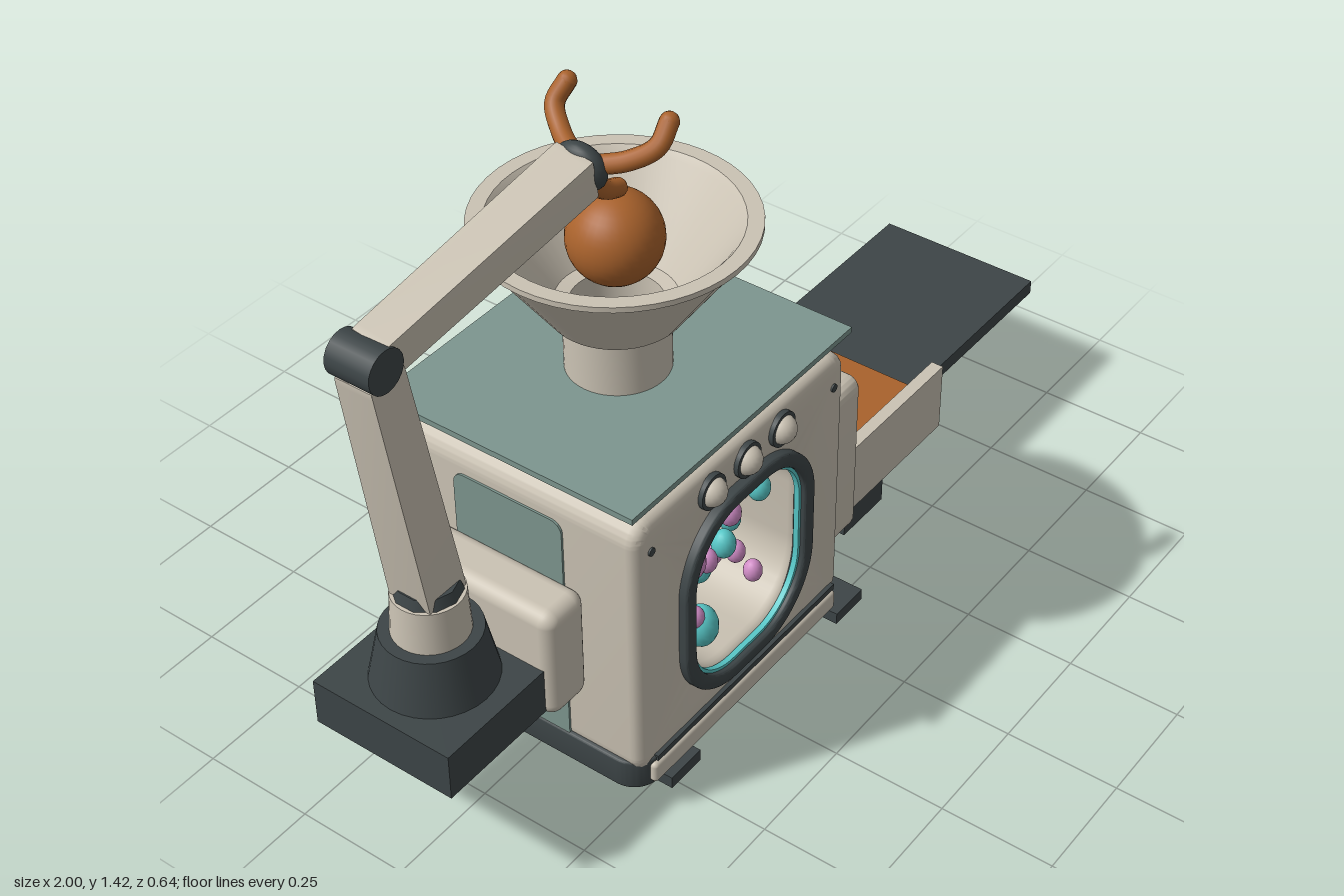
import * as THREE from 'three';
import { toCreasedNormals } from 'three/addons/utils/BufferGeometryUtils.js';
import { RoundedBoxGeometry } from 'three/addons/geometries/RoundedBoxGeometry.js';

const mat = (name, color, side = THREE.FrontSide) => new THREE.MeshStandardMaterial({ name, color, side });
const V = (x, y, z) => new THREE.Vector3(x, y, z);

// Rounded rectangle centred on the origin
function roundRect(w, h, r, Type = THREE.Shape) {
  const s = new Type(), a = w / 2 - r, b = h / 2 - r;
  s.absarc(a, b, r, 0, Math.PI / 2);
  s.absarc(-a, b, r, Math.PI / 2, Math.PI);
  s.absarc(-a, -b, r, Math.PI, Math.PI * 1.5);
  s.absarc(a, -b, r, Math.PI * 1.5, Math.PI * 2);
  s.closePath();
  return s;
}

// Rounded slab with an optional opening, centred in depth
function slab(w, h, r, depth, bevel = 0, hole = null) {
  const s = roundRect(w, h, r);
  if (hole) s.holes.push(roundRect(...hole, THREE.Path));
  const g = new THREE.ExtrudeGeometry(s, {
    depth: depth - 2 * bevel, bevelEnabled: bevel > 0, bevelSize: bevel,
    bevelThickness: bevel, bevelOffset: -bevel, bevelSegments: 4, curveSegments: 10,
  });
  g.translate(0, 0, bevel - depth / 2);
  return toCreasedNormals(g, 0.6);
}

export function createModel() {
  const root = new THREE.Group();
  const beige = mat('beige', 0xcbc3b4), dark = mat('charcoal', 0x3d4547);
  const teal = mat('greyTeal', 0x7d968f), orange = mat('copper', 0xa9622c);
  const pink = mat('pink', 0xd08cc6), cyan = mat('cyan', 0x58c8c8);

  const add = (name, geo, m, x = 0, y = 0, z = 0, parent = root) => {
    const mesh = new THREE.Mesh(geo, m);
    mesh.name = name;
    mesh.position.set(x, y, z);
    parent.add(mesh);
    return mesh;
  };
  // Box given by its limits
  const span = (name, m, x0, x1, y0, y1, z0, z1) =>
    add(name, new THREE.BoxGeometry(x1 - x0, y1 - y0, z1 - z0), m, (x0 + x1) / 2, (y0 + y1) / 2, (z0 + z1) / 2);

  const CX = -0.28, CZ = -0.01, WY = 0.41;

  // Body shell with a window opening, closed at the back
  const shell = slab(0.68, 0.64, 0.05, 0.6, 0.025, [0.365, 0.42, 0.14]);
  shell.translate(0, 0.423 - WY, 0);
  // The opening is shifted with the shell, so the frame parts share its centre
  const winY = 0.423;
  add('body', shell, beige, CX, WY, CZ);
  const cap = add('bodyBack', new THREE.ShapeGeometry(roundRect(0.43, 0.48, 0.17)), beige, CX, winY, -0.3102);
  cap.rotation.y = Math.PI;
  add('chamberBack', new THREE.ShapeGeometry(roundRect(0.37, 0.425, 0.14)), beige, CX, winY, 0.08);

  // Window frame and lining
  add('windowFrame', slab(0.425, 0.478, 0.17, 0.035, 0.008, [0.36, 0.414, 0.137]), dark, CX, WY, 0.294);
  add('windowLining', slab(0.362, 0.416, 0.138, 0.012, 0, [0.346, 0.4, 0.13]), cyan, CX, WY, 0.292);

  // Capsules floating in the chamber: x, y, radius
  const capsules = (name, m, list) => list.forEach(([x, y, r], i) => {
    const c = add(name, new THREE.SphereGeometry(r, 16, 12), m, x, y, 0.17 + 0.035 * ((i * 2) % 4));
    c.scale.set(0.84, 1.08, 0.84);
  });
  capsules('pinkCapsule', pink, [[-0.307, 0.54, 0.043], [-0.388, 0.48, 0.037], [-0.388, 0.42, 0.034],
    [-0.26, 0.515, 0.028], [-0.275, 0.39, 0.03], [-0.335, 0.445, 0.026], [-0.334, 0.33, 0.026],
    [-0.24, 0.4, 0.024], [-0.217, 0.337, 0.021], [-0.18, 0.305, 0.024], [-0.31, 0.4, 0.026], [-0.375, 0.325, 0.024]]);
  capsules('cyanCapsule', cyan, [[-0.222, 0.492, 0.042], [-0.163, 0.513, 0.029], [-0.163, 0.396, 0.028],
    [-0.28, 0.449, 0.03], [-0.27, 0.342, 0.034], [-0.356, 0.289, 0.044], [-0.255, 0.475, 0.026]]);

  // Knobs above the window
  for (const dx of [-0.113, 0, 0.113]) {
    const rim = add('knobRim', new THREE.CylinderGeometry(0.038, 0.038, 0.02, 24), dark, CX + dx, 0.69, 0.29);
    rim.rotation.x = Math.PI / 2;
    add('knob', new THREE.SphereGeometry(0.031, 20, 14), beige, CX + dx, 0.69, 0.294);
  }

  // Screws front and back
  for (const x of [-0.575, 0.015]) for (const z of [0.29, -0.31]) {
    const s = add('screw', new THREE.CylinderGeometry(0.009, 0.009, 0.008, 12), dark, x, 0.67, z);
    s.rotation.x = Math.PI / 2;
  }

  // Base skirt, front strip, legs and pads
  const base = add('baseSkirt', slab(0.695, 0.615, 0.06, 0.07, 0.006), dark, CX, 0.105, -0.012);
  base.rotation.x = Math.PI / 2;
  span('frontSeam', dark, -0.575, 0.03, 0.128, 0.142, 0.28, 0.299);
  add('frontStrip', new RoundedBoxGeometry(0.62, 0.05, 0.03, 3, 0.01), beige, CX, 0.105, 0.29);
  for (const z of [0.19, -0.21]) for (const x of [-0.54, -0.02])
    add('leg', new THREE.CylinderGeometry(0.034, 0.023, 0.045, 16), dark, x, 0.0525, z);
  for (const [z0, z1] of [[0.165, 0.29], [-0.31, -0.185]]) {
    span('footPad', dark, -0.52, -0.425, 0, 0.028, z0, z1);
    span('footPad', dark, 0.06, 0.155, 0, 0.028, z0, z1);
  }

  // Side panels
  for (const x of [-0.62, 0.06]) {
    const p = add('sidePanel', slab(0.26, 0.57, 0.025, 0.009), teal, x, 0.395, CZ);
    p.rotation.y = Math.PI / 2;
  }

  // Lid plate and funnel
  span('lidPlate', teal, -0.628, 0.074, 0.77, 0.783, -0.314, 0.29);
  const profile = [[0.105, 0.783], [0.105, 0.915], [0.134, 0.915], [0.268, 1.105], [0.277, 1.108], [0.277, 1.12],
    [0.245, 1.12], [0.235, 1.108], [0.12, 0.935], [0.092, 0.93], [0.092, 0.79], [0, 0.79]];
  const funnel = new THREE.LatheGeometry(profile.map(p => new THREE.Vector2(...p)), 48);
  add('funnel', toCreasedNormals(funnel, 0.4), beige, CX, 0, CZ);
  add('ball', new THREE.SphereGeometry(0.095, 32, 20), orange, CX, 1.078, CZ);

  // Outlet frame, flap and tray
  const outlet = add('outletFrame', slab(0.555, 0.397, 0.03, 0.095, 0.015, [0.466, 0.33, 0.006]), beige, 0.1075, 0.399, CZ);
  outlet.rotation.y = Math.PI / 2;
  const flap = add('flap', new THREE.BoxGeometry(0.01, 0.19, 0.3), orange, 0.168, 0.489, CZ);
  flap.rotation.z = Math.atan2(0.1, 0.165);
  span('trayFloor', beige, 0.1, 0.51, 0.225, 0.293, -0.235, 0.22);
  span('trayLiner', orange, 0.1, 0.51, 0.293, 0.299, -0.235, 0.22);
  span('trayWall', beige, 0.155, 0.51, 0.225, 0.388, 0.22, 0.248);
  span('trayWall', beige, 0.155, 0.51, 0.225, 0.388, -0.264, -0.235);
  span('trayBracket', dark, 0.18, 0.325, 0.13, 0.225, 0.178, 0.224);
  span('trayBracket', dark, 0.18, 0.325, 0.13, 0.225, -0.242, -0.197);
  span('conveyor', dark, 0.505, 1, 0.263, 0.296, -0.205, 0.183);

  // Arm mount and turret
  const AX = -0.845, AZ = -0.015;
  add('armMount', new RoundedBoxGeometry(0.112, 0.258, 0.372, 4, 0.03), beige, -0.672, 0.411, AZ);
  span('armBase', dark, -1, -0.72, 0.3, 0.405, -0.18, 0.15);
  add('turret', new THREE.CylinderGeometry(0.1, 0.125, 0.115, 32), dark, AX, 0.4625, AZ);
  add('turretNeck', new THREE.CylinderGeometry(0.072, 0.077, 0.095, 32), beige, AX, 0.567, AZ);
  add('turretCollar', new THREE.CylinderGeometry(0.06, 0.068, 0.025, 10), dark, AX, 0.625, AZ);

  // Arm: tapered bars between joints
  const bar = (name, a, b, w0, w1) => {
    const len = a.distanceTo(b), g = new RoundedBoxGeometry(1, len, 1, 1, 0.014);
    const p = g.attributes.position;
    for (let i = 0; i < p.count; i++) {
      const w = THREE.MathUtils.lerp(w0, w1, p.getY(i) / len + 0.5);
      p.setX(i, p.getX(i) * w);
      p.setZ(i, p.getZ(i) * w);
    }
    const m = add(name, toCreasedNormals(g, 0.3), beige);
    m.position.copy(a).lerp(b, 0.5);
    m.quaternion.setFromUnitVectors(V(0, 1, 0), b.clone().sub(a).normalize());
  };
  const elbow = V(-0.945, 1.2, -0.02), wrist = V(-0.41, 1.318, 0.022);
  bar('upperArm', V(-0.843, 0.6, AZ), V(-0.937, 1.175, -0.018), 0.1, 0.085);
  bar('forearm', V(-0.925, 1.203, -0.018), V(-0.42, 1.316, 0.022), 0.08, 0.088);
  const joint = add('elbow', new THREE.CylinderGeometry(0.044, 0.044, 0.1, 20), dark);
  joint.position.copy(elbow);
  joint.rotation.x = Math.PI / 2;
  const hub = add('wrist', new THREE.SphereGeometry(0.055, 24, 16), dark);
  hub.position.copy(wrist);
  hub.scale.set(0.55, 0.95, 1);
  hub.rotation.z = 0.22;

  // Gripper fingers
  const fingers = [
    [V(-0.4, 1.325, 0.05), V(-0.375, 1.34, 0.1), V(-0.345, 1.37, 0.142), V(-0.312, 1.405, 0.143)],
    [V(-0.4, 1.325, -0.005), V(-0.37, 1.34, -0.055), V(-0.34, 1.37, -0.092), V(-0.312, 1.405, -0.085)],
    [V(-0.4, 1.3, 0.025), V(-0.385, 1.268, 0.027), V(-0.355, 1.24, 0.03), V(-0.32, 1.225, 0.03)],
  ];
  for (const pts of fingers) {
    add('finger', new THREE.TubeGeometry(new THREE.CatmullRomCurve3(pts), 20, 0.019, 12), orange);
    add('fingerTip', new THREE.SphereGeometry(0.019, 12, 10), orange, ...pts[3].toArray());
  }
  return root;
}
